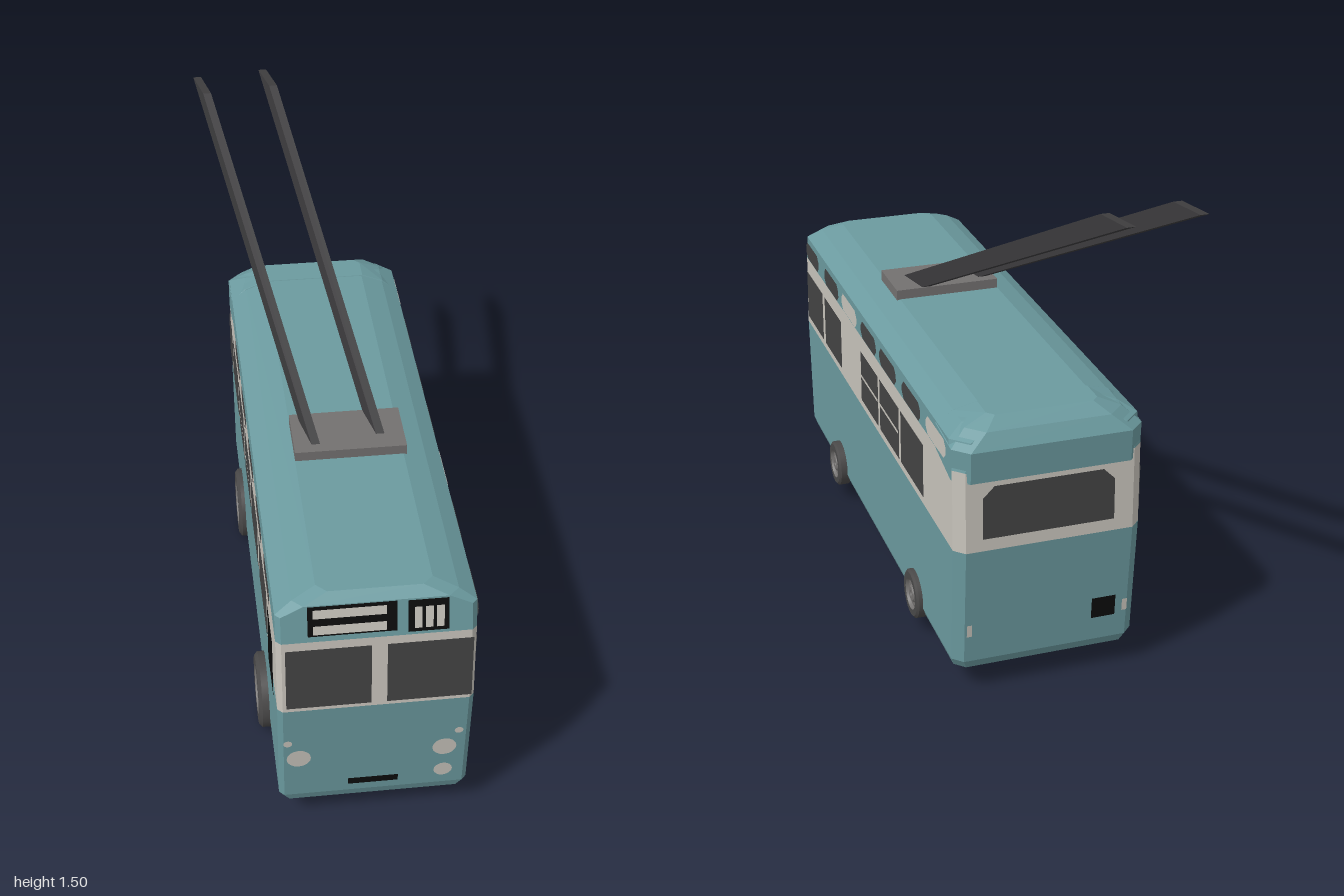
import * as THREE from 'three';
import { toCreasedNormals } from 'three/addons/utils/BufferGeometryUtils.js';

const CX = 0.025, HALF = 0.285;
const mat = (name, color) => new THREE.MeshStandardMaterial({ name, color, side: THREE.DoubleSide });

// Body levels: y, half width, front z, back z, front corner cut, back corner cut
const LEVELS = [
  [0.08, 0.272, 0.965, -0.765, 0.02, 0.03],
  [0.11, 0.283, 0.975, -0.78, 0.015, 0.03],
  [0.49, HALF, 1.0, -0.807, 0.015, 0.03],
  [0.745, HALF, 0.985, -0.802, 0.015, 0.03],
  [0.83, HALF, 0.968, -0.79, 0.015, 0.05],
  [0.86, 0.235, 0.962, -0.765, 0.03, 0.06],
  [0.882, 0.165, 0.93, -0.74, 0.03, 0.06],
];

// Front (column 2) or back (column 3) surface at height y
function endZ(y, col) {
  let i = 0;
  while (i < LEVELS.length - 2 && y > LEVELS[i + 1][0]) i++;
  const a = LEVELS[i], b = LEVELS[i + 1];
  return a[col] + (b[col] - a[col]) * (y - a[0]) / (b[0] - a[0]);
}

// Rectangle with cut corners at one level; yBack lets the ring dip to the rear
function ring([y, h, zf, zb, cf, cb, yBack = y]) {
  return [
    [-h + cf, y, zf], [h - cf, y, zf], [h, y, zf - cf], [h, yBack, zb + cb],
    [h - cb, yBack, zb], [-h + cb, yBack, zb], [-h, yBack, zb + cb], [-h, y, zf - cf],
  ].map(([x, py, z]) => [x + CX, py, z]);
}

// Flat-faced skin over a stack of rings
function loft(rings, capBottom, capTop) {
  const pos = [];
  const tri = (...pts) => pts.forEach((p) => pos.push(...p));
  for (let k = 0; k < rings.length - 1; k++) {
    const a = rings[k], b = rings[k + 1], n = a.length;
    for (let i = 0; i < n; i++) {
      const j = (i + 1) % n;
      tri(a[i], a[j], b[j]);
      tri(a[i], b[j], b[i]);
    }
  }
  const first = rings[0], last = rings[rings.length - 1];
  for (let i = 1; i < first.length - 1; i++) {
    if (capBottom) tri(first[0], first[i + 1], first[i]);
    if (capTop) tri(last[0], last[i], last[i + 1]);
  }
  const g = new THREE.BufferGeometry();
  g.setAttribute('position', new THREE.Float32BufferAttribute(pos, 3));
  g.computeVertexNormals();
  return g;
}

// Rectangle outline with cut lower and upper corners
function outline(a, b, y0, y1, low = 0, high = 0) {
  const [u0, u1] = [Math.min(a, b), Math.max(a, b)];
  return [[u0 + low, y0], [u1 - low, y0], [u1, y0 + low], [u1, y1 - high],
    [u1 - high, y1], [u0 + high, y1], [u0, y1 - high], [u0, y0 + low]];
}
const disc = (x, y, r) => Array.from({ length: 16 }, (_, i) =>
  [x + r * Math.cos(i * Math.PI / 8), y + r * Math.sin(i * Math.PI / 8)]);

export function createModel() {
  const root = new THREE.Group();
  root.name = 'trolleybus';
  const teal = mat('teal paint', 0x6b9a9f), cream = mat('cream paint', 0xc8c4bc);
  const glass = mat('dark glass', 0x434343), black = mat('black', 0x0c0c0c);
  const pole = mat('pole charcoal', 0x3d3c3e), grey = mat('metal grey', 0x737170);
  const rubber = mat('tyre grey', 0x4a4949);

  function add(name, geometry, material, parent = root) {
    const m = new THREE.Mesh(geometry, material);
    m.name = name;
    parent.add(m);
    return m;
  }

  // Thin painted face laid on one side of the body
  function plate(name, material, side, pts, lift = 0.004) {
    const flip = side === 'back' || side === 'left' ? -1 : 1;
    const shape = new THREE.Shape(pts.map(([u, v]) => new THREE.Vector2(u * flip, v)));
    const g = new THREE.ShapeGeometry(shape), p = g.attributes.position;
    for (let i = 0; i < p.count; i++) {
      const u = p.getX(i) * flip, y = p.getY(i);
      if (side === 'front') p.setXYZ(i, u, y, endZ(y, 2) + lift);
      else if (side === 'back') p.setXYZ(i, u, y, endZ(y, 3) - lift);
      else p.setXYZ(i, CX + (side === 'left' ? 1 : -1) * (HALF + lift), y, u);
    }
    g.computeVertexNormals();
    return add(name, g, material);
  }

  // Body shell in three colour bands
  const rings = LEVELS.map(ring);
  add('lowerBody', loft(rings.slice(0, 3), true, false), teal);
  add('windowBand', loft(rings.slice(2, 4), false, false), cream);
  add('roof', loft(rings.slice(3), false, true), teal);

  // Rear hood overhanging the back window
  add('rearHood', loft([
    [0.745, HALF + 0.002, -0.62, -0.81, 0.002, 0.045, 0.712],
    [0.825, HALF + 0.002, -0.62, -0.815, 0.002, 0.045, 0.81],
    [0.862, 0.237, -0.63, -0.785, 0.002, 0.05, 0.855],
    [0.884, 0.168, -0.64, -0.74, 0.002, 0.02],
  ].map(ring), true, true), teal);

  // Windscreen and destination signs
  plate('windscreenPane', glass, 'front', outline(-0.235, 0.01, 0.505, 0.72));
  plate('windscreenPane', glass, 'front', outline(0.055, 0.3, 0.505, 0.72));
  plate('routeSign', black, 'front', outline(-0.17, 0.082, 0.765, 0.86));
  plate('numberSign', black, 'front', outline(0.112, 0.228, 0.757, 0.858));
  for (const y of [0.772, 0.823]) plate('routeSignStrip', cream, 'front', outline(-0.155, 0.052, y, y + 0.028), 0.007);
  for (const x of [0.13, 0.161, 0.192]) plate('numberSignBar', cream, 'front', outline(x, x + 0.022, 0.77, 0.838), 0.007);

  // Front lamps and grille
  for (const [x, y, r] of [[-0.2, 0.28, 0.036], [0.232, 0.28, 0.036], [0.232, 0.175, 0.028],
    [-0.232, 0.35, 0.013], [0.272, 0.35, 0.013]]) plate('frontLamp', cream, 'front', disc(x, y, r));
  plate('grille', black, 'front', outline(-0.053, 0.097, 0.142, 0.168));

  // Back window, number plate and lamps
  plate('backWindow', glass, 'back', outline(-0.17, 0.23, 0.53, 0.695, 0, 0.035));
  plate('rearPlate', black, 'back', outline(-0.19, -0.115, 0.19, 0.26));
  for (const x of [-0.22, 0.265]) plate('rearLamp', cream, 'back', outline(x - 0.008, x + 0.008, 0.2, 0.24));

  // Left side windows
  for (const [a, b, bar] of [[0.96, 0.73], [0.7, 0.47], [0.21, 0, 1], [-0.02, -0.24, 1], [-0.26, -0.5]]) {
    plate('leftWindow', glass, 'left', outline(a, b, 0.52, 0.695));
    if (bar) plate('leftWindowBar', cream, 'left', outline(a, b, 0.606, 0.616), 0.006);
  }
  for (const [a, b, lit] of [[0.955, 0.77], [0.685, 0.49], [0.445, 0.25, 1], [0.195, 0.01],
    [-0.03, -0.22], [-0.285, -0.48], [-0.535, -0.73, 1]]) {
    plate('leftRoofLight', lit ? cream : glass, 'left', outline(a, b, 0.755, 0.815, 0.02, 0.02), 0.005);
  }

  // Right side windows and door glass
  for (const [a, b, bar] of [[-0.77, -0.61], [-0.59, -0.35], [-0.33, -0.12, 1], [-0.09, 0.13, 1], [0.16, 0.41], [0.455, 0.72]]) {
    plate('rightWindow', glass, 'right', outline(a, b, 0.52, 0.695, 0, a < -0.7 ? 0.03 : 0));
    if (bar) plate('rightWindowBar', cream, 'right', outline(a, b, 0.606, 0.616), 0.006);
  }
  for (const a of [-0.42, -0.155, 0.115, 0.395, 0.66]) {
    plate('rightRoofLight', glass, 'right', outline(a, a + 0.19, 0.755, 0.815, 0.02, 0.02), 0.005);
  }
  plate('doorGlass', black, 'right', outline(0.8, 0.96, 0.52, 0.73), 0.008);

  // Wheels: full on the right, small covers on the left
  const lathe = (pts) => toCreasedNormals(
    new THREE.LatheGeometry(pts.map(([r, h]) => new THREE.Vector2(r, h)), 28), 0.5);
  const tyre = lathe([[0, -0.035], [0.108, -0.035], [0.12, -0.025], [0.12, 0.025], [0.108, 0.035], [0.078, 0.035]]);
  const rim = lathe([[0.078, 0.035], [0.07, 0.02], [0.045, 0.02], [0.036, 0.032], [0.015, 0.032], [0.012, 0.026], [0, 0.026]]);
  function wheel(name, x, y, z, side, scale, thin, tyreMat) {
    const w = new THREE.Group();
    w.name = name;
    add('tyre', tyre, tyreMat, w);
    add('rim', rim, grey, w);
    w.position.set(x, y, z);
    w.rotation.z = -side * Math.PI / 2;
    w.scale.set(scale, thin, scale);
    root.add(w);
  }
  for (const z of [0.54, -0.385]) {
    const shift = z > 0 ? 0 : -0.009;
    wheel('rightWheel', -0.255 - shift, 0.12, z, -1, 1, 1, rubber);
    wheel('leftWheel', 0.313 + shift, 0.123, z, 1, 0.65, 0.65, rubber);
  }

  // Roof mount and the two current collector poles
  const mount = add('poleMount', new THREE.BoxGeometry(0.34, 0.04, 0.19), grey);
  mount.position.set(0.03, 0.893, 0.255);
  for (const [x0, z0, x1, z1] of [[-0.07, 0.33, -0.325, -0.85], [0.13, 0.3, -0.103, -0.88]]) {
    const section = (x, y, z) => [[x - 0.013, y, z], [x + 0.013, y, z],
      [x - 0.013, y, z - 0.12], [x - 0.039, y, z - 0.12]];
    add('collectorPole', loft([section(x0, 0.905, z0), section(x1 + 0.02, 1.5, z1)], true, true), pole);
  }
  return root;
}
